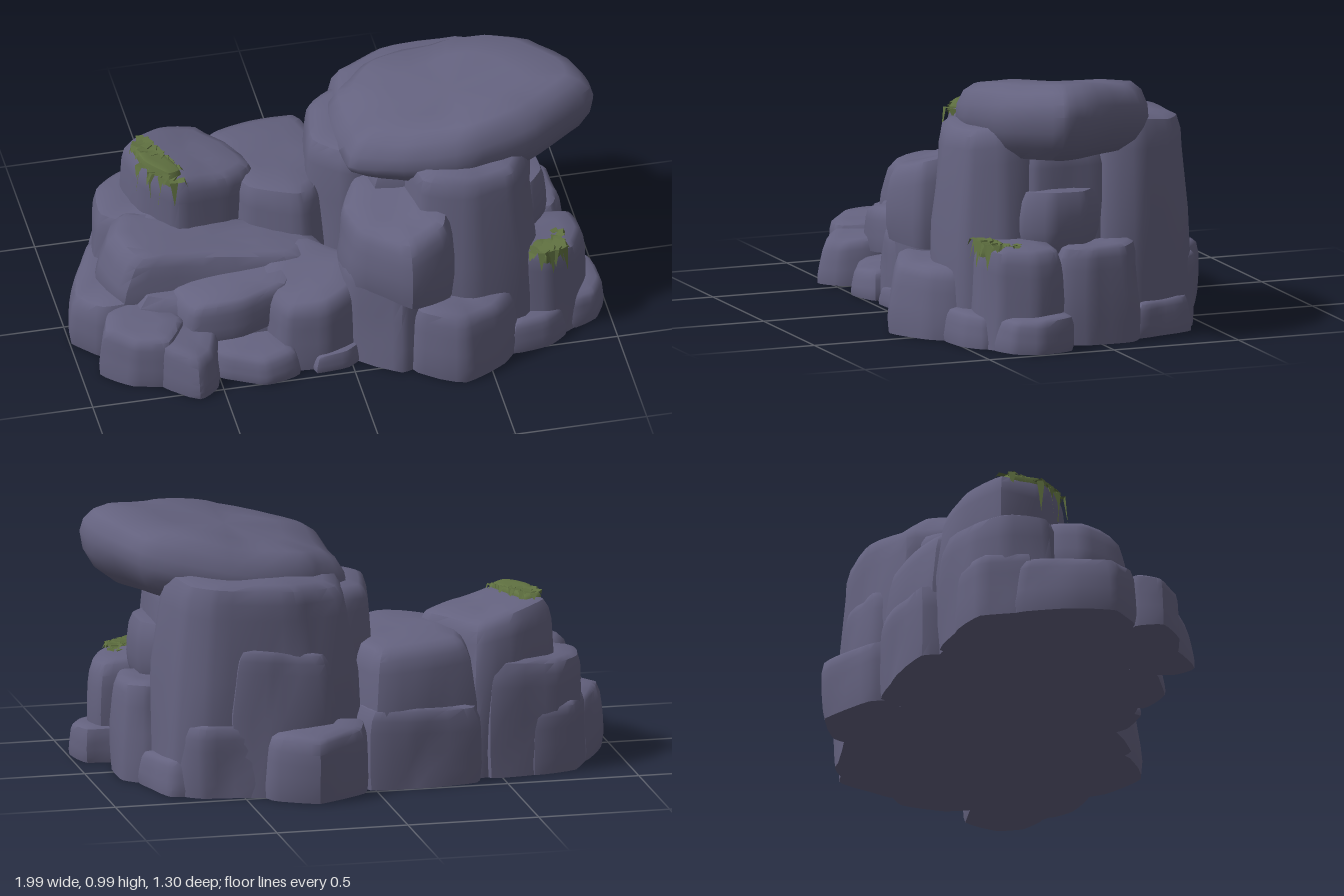
import * as THREE from 'three';
import { toCreasedNormals } from 'three/addons/utils/BufferGeometryUtils.js';

const stone = new THREE.MeshStandardMaterial({ color: 0x64627f });
stone.name = 'slate stone';
const moss = new THREE.MeshStandardMaterial({ color: 0x5f7040, side: THREE.DoubleSide });
moss.name = 'moss green';

// soft, repeatable bumps
const bump = (x, y, z) =>
  Math.abs(Math.sin(x * 9 + y * 5 + 1)) * 0.5 + Math.sin(y * 13 - z * 8) * 0.3 + Math.sin(z * 17 + x * 11 + y * 4) * 0.3 - 0.3;

// A boulder lofted from a plan outline of [x, z] points.
// low and high are planes: [height at the middle, slope along x, slope along z].
// taper narrows the top; round gives a pebble-like profile.
function rock(name, outline, low, high, { round = false, taper = 1, bevel = 0.09, material = stone } = {}) {
  const pts = outline.map(([x, z]) => new THREE.Vector2(x, z));
  if (THREE.ShapeUtils.area(pts) < 0) pts.reverse();
  const mid = pts.reduce((s, p) => s.add(p), new THREE.Vector2(0, 0)).divideScalar(pts.length);
  const curve = new THREE.CatmullRomCurve3(pts.map(p => new THREE.Vector3(p.x, 0, p.y)), true, 'catmullrom', 0.2);
  const n = pts.length * 4;
  const plane = ([h, sx = 0, sz = 0], x, z) => h + sx * (x - mid.x) + sz * (z - mid.y);
  const thick = high[0] - low[0];
  const rim = round ? thick * 0.55 : Math.min(bevel, thick * 0.4);
  // [fraction of the wall, fraction of the rim, scale of the outline]
  const rings = round
    ? [[0, 0, 0.74], [0.3, 0, 0.89], [0.65, 0, 0.97], [1, 0, 1], [1, 0.35, 0.98], [1, 0.72, 0.91], [1, 0.94, 0.8], [1, 1, 0.5]]
    : [[0, 0, 0.97], [0.3, 0, 1], [0.65, 0, 0.985], [1, 0, 0.96], [1, 0.5, 0.925], [1, 0.88, 0.85], [1, 1, 0.72], [1, 1, 0.38]];
  const pos = [], index = [];
  const put = (x, z, wall, edge) => {
    const lo = plane(low, x, z), hi = plane(high, x, z);
    const y = lo + wall * (hi - rim - lo) + edge * rim;
    const d = 0.02 * bump(x, y, z);
    const r = Math.hypot(x - mid.x, z - mid.y) || 1;
    pos.push(x + d * (x - mid.x) / r, Math.max(0, y + (edge > 0.5 ? d * 0.7 : 0)), z + d * (z - mid.y) / r);
  };
  for (const [wall, edge, size] of rings)
    for (let i = 0; i < n; i++) {
      const p = curve.getPoint(i / n);
      const s = size * (1 - (1 - taper) * wall * wall);
      put(mid.x + (p.x - mid.x) * s, mid.y + (p.z - mid.y) * s, wall, edge);
    }
  put(mid.x, mid.y, 0, 0);
  put(mid.x, mid.y, 1, 1);
  const last = (rings.length - 1) * n, bottom = rings.length * n;
  for (let i = 0; i < n; i++) {
    const j = (i + 1) % n;
    for (let k = 0; k < last; k += n)
      index.push(k + i, k + n + i, k + j, k + j, k + n + i, k + n + j);
    index.push(bottom, i, j, bottom + 1, last + j, last + i);
  }
  const geo = new THREE.BufferGeometry();
  geo.setAttribute('position', new THREE.Float32BufferAttribute(pos, 3));
  geo.setIndex(index);
  const mesh = new THREE.Mesh(toCreasedNormals(geo, 0.75), material);
  mesh.name = name;
  return mesh;
}

// Drooping blades fanned out along a line from a to b
function blades(name, a, b, count, reach, drop) {
  const pos = [], A = new THREE.Vector3(...a), B = new THREE.Vector3(...b);
  for (let i = 0; i < count; i++) {
    const angle = i * 2.4, vary = 0.6 + 0.4 * Math.sin(i * 5.3);
    const dir = new THREE.Vector3(Math.cos(angle), 0, Math.sin(angle));
    const side = new THREE.Vector3(-dir.z, 0, dir.x).multiplyScalar(0.015);
    const root = A.clone().lerp(B, i / (count - 1));
    const knee = root.clone().addScaledVector(dir, reach * 0.7);
    knee.y += 0.006;
    const tip = root.clone().addScaledVector(dir, reach);
    tip.y -= drop * vary;
    const [r0, r1] = [root.clone().sub(side), root.clone().add(side)];
    const [k0, k1] = [knee.clone().sub(side), knee.clone().add(side)];
    for (const p of [r0, r1, k0, r1, k1, k0, k0, k1, tip]) pos.push(p.x, p.y, p.z);
  }
  const geo = new THREE.BufferGeometry();
  geo.setAttribute('position', new THREE.Float32BufferAttribute(pos, 3));
  geo.computeVertexNormals();
  const mesh = new THREE.Mesh(geo, moss);
  mesh.name = name;
  return mesh;
}

export function createModel() {
  const model = new THREE.Group();
  model.name = 'rockFormation';
  const add = (...args) => model.add(rock(...args));

  // tall side: overhanging cap and columns
  add('capSlab', [[0.03, 0.05], [0.04, -0.18], [0.18, -0.3], [0.52, -0.33], [0.84, -0.18], [0.97, 0.08], [0.98, 0.19],
    [0.73, 0.34], [0.46, 0.38], [0.22, 0.32], [0.05, 0.2]], [0.68, 0.06, -0.02], [0.925, 0.17, 0.07], { round: true });
  add('frontColumn', [[0.18, 0.1], [0.22, 0.42], [0.45, 0.51], [0.66, 0.47], [0.74, 0.33], [0.72, 0.18], [0.42, -0.02]],
    [0], [0.8, 0.04, -0.15], { taper: 0.87, bevel: 0.13 });
  add('middleColumn', [[0.1, -0.15], [0.1, 0.25], [0.5, 0.33], [0.74, 0.22], [0.76, 0.06], [0.72, -0.1]], [0], [0.74], { taper: 0.93 });
  add('recessBoulder', [[0.5, 0.25], [0.72, 0.27], [0.8, 0.17], [0.8, 0.02], [0.72, -0.06], [0.5, -0.05]], [0.3], [0.57], { round: true });
  add('backColumn', [[0.0, -0.15], [0.03, -0.38], [0.27, -0.48], [0.62, -0.46], [0.75, -0.38], [0.8, -0.2], [0.74, -0.04], [0.2, 0.04]],
    [0], [0.8, 0.05, 0.08], { taper: 0.91, bevel: 0.12 });
  add('backBulge', [[0.1, -0.3], [0.16, -0.47], [0.4, -0.5], [0.55, -0.47], [0.55, -0.3]], [0], [0.55, 0.1], { taper: 0.9 });
  add('leftShoulder', [[-0.07, 0], [-0.04, -0.26], [0.1, -0.34], [0.3, -0.2], [0.3, 0.12], [0.05, 0.14]], [0.2], [0.74, 0.12]);

  // blocks stacked against the front of the columns
  add('frontShoulder', [[-0.02, 0.25], [0.02, 0.42], [0.2, 0.58], [0.36, 0.52], [0.39, 0.4], [0.3, 0.15], [0.06, 0.12]],
    [0.32, -0.1], [0.63, 0.2, -0.16]);
  add('frontShoulderBase', [[-0.02, 0.2], [0.0, 0.4], [0.17, 0.55], [0.3, 0.5], [0.4, 0.3], [0.2, 0.1]], [0], [0.42, -0.12]);
  add('frontFoot', [[0.17, 0.44], [0.22, 0.56], [0.39, 0.645], [0.56, 0.57], [0.63, 0.47], [0.5, 0.35], [0.25, 0.3]], [0], [0.28, -0.06, -0.05]);
  add('frontFootStep', [[0.56, 0.4], [0.6, 0.52], [0.74, 0.5], [0.82, 0.44], [0.8, 0.3], [0.6, 0.3]], [0], [0.13]);

  // benches and feet on the right side
  add('sideBenchFront', [[0.58, 0.2], [0.62, 0.42], [0.75, 0.46], [0.87, 0.41], [0.93, 0.28], [0.9, 0.16], [0.7, 0.13]], [0], [0.385, -0.14], { taper: 0.95 });
  add('sideBenchBack', [[0.6, 0.15], [0.84, 0.16], [0.9, 0.05], [0.88, -0.12], [0.8, -0.19], [0.6, -0.18]], [0], [0.375, -0.05], { taper: 0.95 });
  add('sideFoot', [[0.78, 0.2], [0.84, 0.42], [0.95, 0.39], [1.0, 0.29], [0.96, 0.14], [0.8, 0.12]], [0], [0.135, -0.1]);
  add('sideFootBack', [[0.6, -0.18], [0.83, -0.17], [0.81, -0.27], [0.76, -0.4], [0.6, -0.42]], [0], [0.14, -0.1]);

  // blocks along the back
  add('backSpur', [[0.02, -0.4], [0.04, -0.52], [0.25, -0.65], [0.41, -0.54], [0.43, -0.4]], [0], [0.25, -0.04, 0.12]);
  add('backFootRight', [[0.4, -0.35], [0.42, -0.49], [0.65, -0.47], [0.74, -0.38], [0.65, -0.3]], [0], [0.27]);
  add('backFootMiddle', [[-0.42, -0.3], [-0.4, -0.46], [-0.15, -0.5], [0.03, -0.49], [0.06, -0.3]], [0], [0.3, 0.05]);

  // low side: stepped ledges
  add('saddleBlock', [[-0.42, -0.2], [-0.4, -0.42], [-0.2, -0.48], [0.0, -0.49], [0.08, -0.2], [-0.03, 0.09], [-0.12, 0.13], [-0.32, 0.04]],
    [0], [0.54, -0.04, 0.03], { taper: 0.96 });
  add('mossyBlock', [[-0.73, -0.26], [-0.57, -0.37], [-0.4, -0.4], [-0.24, -0.09], [-0.36, 0.01], [-0.57, 0.04], [-0.7, -0.08]], [0], [0.615, -0.16]);
  add('leftBackBlock', [[-0.87, -0.1], [-0.84, -0.28], [-0.72, -0.39], [-0.45, -0.42], [-0.4, -0.1], [-0.7, 0.05]], [0], [0.43, 0.08, 0.04], { taper: 0.94 });
  add('longLedge', [[-0.89, 0.02], [-0.82, -0.12], [-0.5, -0.1], [-0.1, 0], [0.02, 0.16], [-0.1, 0.25], [-0.45, 0.22], [-0.8, 0.2]],
    [0.18], [0.405, -0.09, -0.08], { taper: 0.97 });
  add('ledgeBase', [[-0.8, -0.2], [-0.78, 0.25], [-0.4, 0.35], [0.1, 0.35], [0.1, -0.3], [-0.5, -0.34]], [0], [0.27]);
  add('middleStep', [[-0.66, 0.2], [-0.6, 0.36], [-0.4, 0.38], [-0.2, 0.33], [-0.16, 0.2], [-0.4, 0.12]], [0.14, 0.12], [0.31, 0.13, -0.15]);
  add('leftFoot', [[-1.0, 0.11], [-0.95, -0.06], [-0.86, -0.25], [-0.66, -0.22], [-0.66, 0.2], [-0.9, 0.22]], [0], [0.23, 0.04]);
  add('leftBackFoot', [[-0.88, -0.18], [-0.8, -0.37], [-0.62, -0.41], [-0.55, -0.2], [-0.7, -0.1]], [0], [0.26]);
  add('leftFrontFoot', [[-0.93, 0.31], [-0.89, 0.21], [-0.7, 0.16], [-0.58, 0.3], [-0.68, 0.44], [-0.83, 0.42]], [0], [0.21, 0.03, -0.08]);
  add('lowFrontFoot', [[-0.78, 0.38], [-0.6, 0.53], [-0.52, 0.48], [-0.48, 0.32], [-0.68, 0.26]], [0], [0.18, -0.08, -0.15]);
  add('lowFrontStep', [[-0.56, 0.36], [-0.48, 0.44], [-0.34, 0.51], [-0.2, 0.47], [-0.2, 0.28], [-0.45, 0.25]], [0], [0.12, 0.08, -0.15]);
  add('centreFrontBlock', [[-0.34, 0.26], [-0.26, 0.44], [-0.1, 0.46], [0.03, 0.4], [0.1, 0.25], [-0.1, 0.12], [-0.26, 0.14]], [0], [0.33, 0.1, -0.35]);
  add('centreFrontFoot', [[-0.16, 0.38], [-0.14, 0.48], [-0.02, 0.46], [0.06, 0.4], [0, 0.34]], [0], [0.07]);

  // moss tufts
  add('mossPatch', [[-0.7, -0.22], [-0.63, -0.25], [-0.59, -0.13], [-0.55, -0.02], [-0.6, 0], [-0.68, -0.1]], [0.58], [0.65, -0.12], { material: moss });
  model.add(blades('mossBlades', [-0.665, 0.652, -0.22], [-0.585, 0.642, -0.03], 36, 0.055, 0.07));
  model.add(blades('mossFringe', [-0.68, 0.635, -0.11], [-0.575, 0.625, 0.015], 22, 0.045, 0.14));
  add('benchMossPatch', [[0.69, 0.39], [0.74, 0.45], [0.81, 0.41], [0.82, 0.36], [0.72, 0.35]], [0.34], [0.392, -0.1], { material: moss });
  model.add(blades('benchMossBlades', [0.71, 0.395, 0.42], [0.8, 0.385, 0.39], 26, 0.055, 0.09));
  model.add(blades('benchMossTrail', [0.8, 0.385, 0.39], [0.81, 0.38, 0.3], 10, 0.035, 0.04));
  return model;
}
